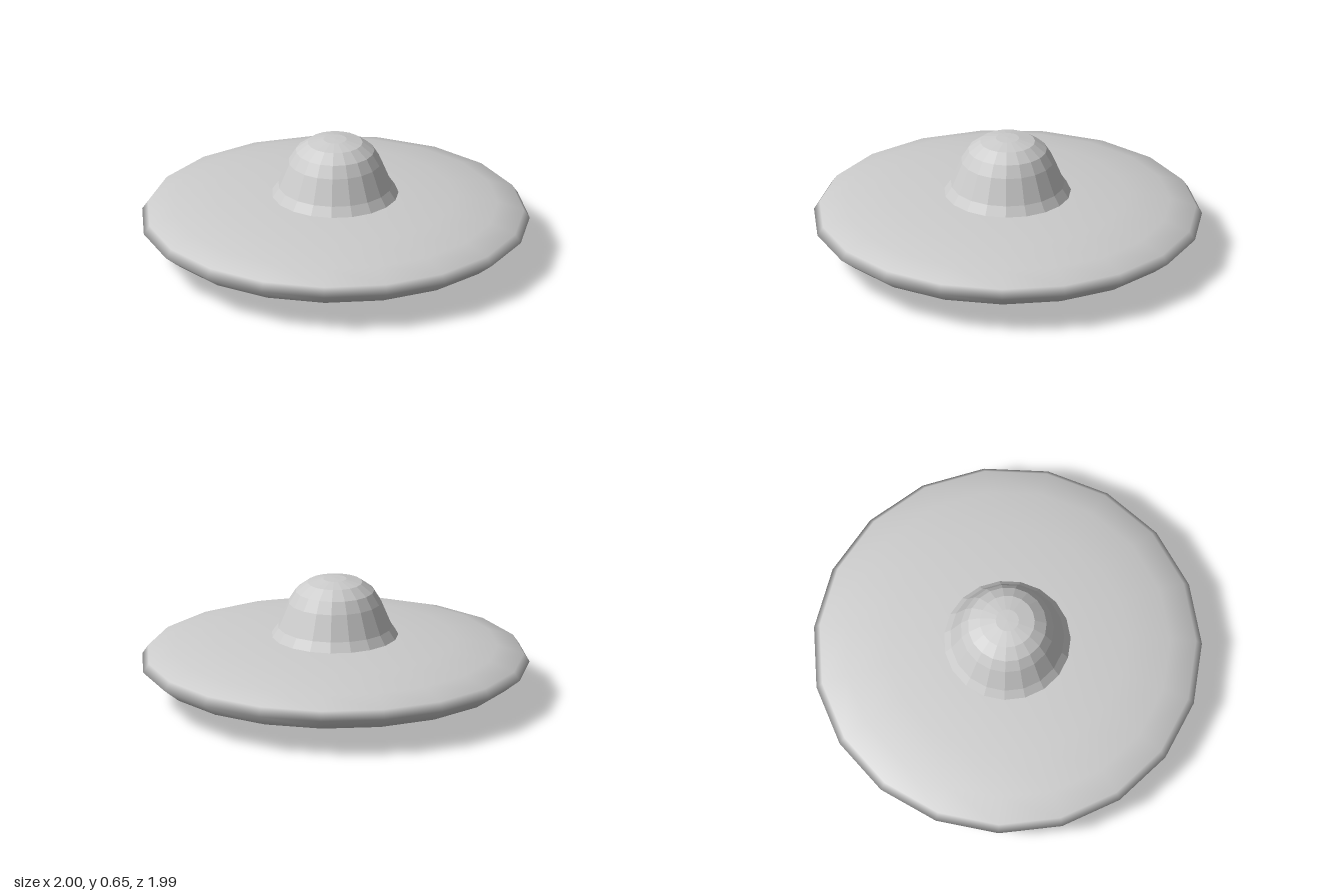
import * as THREE from 'three';

const SIDES = 19;

// Lathe a bottom-to-top [radius, height] profile, one corner pointing to the back
function turned(name, profile, flatShading) {
  const points = profile.map(([r, y]) => new THREE.Vector2(r, y));
  const geometry = new THREE.LatheGeometry(points, SIDES, Math.PI);
  const material = new THREE.MeshStandardMaterial({ color: 0xcccccc, flatShading });
  const mesh = new THREE.Mesh(geometry, material);
  mesh.name = name;
  return mesh;
}

export function createModel() {
  const model = new THREE.Group();
  model.name = 'flyingSaucer';

  // Smooth lens-shaped hull
  model.add(turned('saucerHull', [
    [0, 0], [0.165, 0.012], [0.48, 0.035], [0.74, 0.083], [0.92, 0.135],
    [1.003, 0.2],
    [0.973, 0.245], [0.84, 0.29], [0.62, 0.33], [0.325, 0.352], [0, 0.36],
  ], false));

  // Faceted cabin dome with a flared foot
  model.add(turned('cabinDome', [
    [0.328, 0.35], [0.294, 0.4], [0.24, 0.53], [0.203, 0.59],
    [0.142, 0.635], [0.06, 0.653], [0, 0.655],
  ], true));

  // Centre the odd-sided outline front to back
  model.children.forEach((part) => { part.position.z = 0.007; });
  return model;
}
